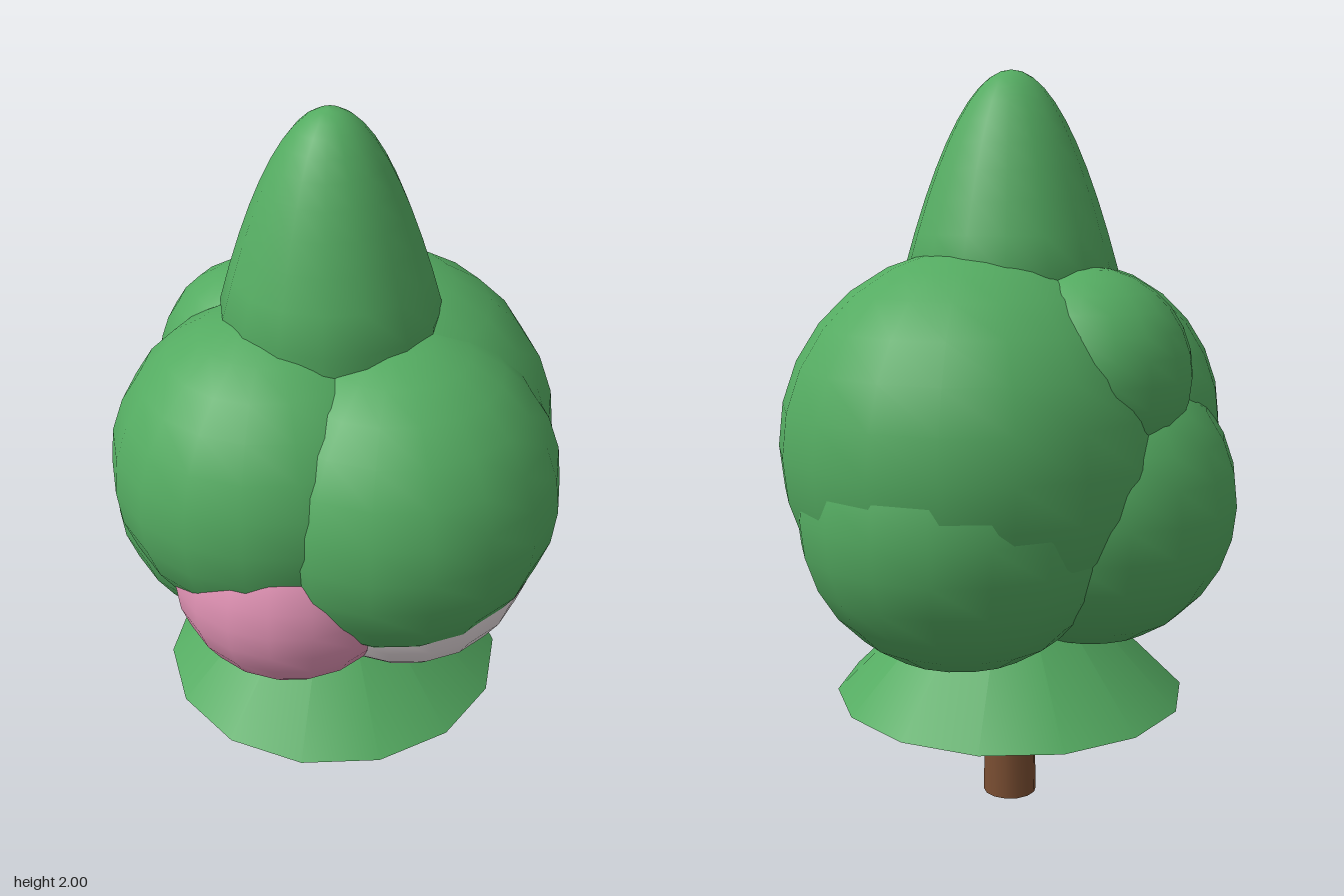
import * as THREE from 'three';

const mat = (name, color) => {
  const m = new THREE.MeshStandardMaterial({ color });
  m.name = name;
  return m;
};

export function createModel() {
  const tree = new THREE.Group();
  tree.name = 'blossomTree';
  const leaf = mat('leafGreen', 0x54ab61);
  const pink = mat('blossomPink', 0xe293b5);
  const white = mat('blossomWhite', 0xeadfe2);
  const bark = mat('barkBrown', 0x7a4e32);

  const add = (name, geometry, material, x, y, z) => {
    const mesh = new THREE.Mesh(geometry, material);
    mesh.name = name;
    mesh.position.set(x, y, z);
    tree.add(mesh);
  };

  // Trunk and the flared skirt of leaves share one axis
  const ax = -0.025, az = -0.035;
  add('trunk', new THREE.CylinderGeometry(0.06, 0.075, 0.6, 14), bark, ax, 0.3, az);
  add('leafSkirt', new THREE.ConeGeometry(0.485, 0.48, 14), leaf, ax, 0.55, az);

  // Crown of overlapping balls: name, material, radius, centre
  const balls = [
    ['frontFoliage', leaf, 0.445, 0, 1.03, 0.18],
    ['leftFoliage', leaf, 0.52, 0.115, 1.03, -0.05],
    ['lowerLeftFoliage', leaf, 0.43, 0.2, 0.88, -0.09],
    ['rightFoliage', leaf, 0.435, -0.2, 1.07, -0.06],
    ['backFoliage', leaf, 0.4, -0.14, 0.88, -0.225],
    ['upperBackFoliage', leaf, 0.275, -0.06, 1.23, -0.29],
    ['pinkBlossom', pink, 0.32, -0.26, 0.83, 0.07],
    ['whiteBlossom', white, 0.355, 0.03, 0.85, 0.2],
  ];
  for (const [name, material, r, x, y, z] of balls) {
    add(name, new THREE.SphereGeometry(r, 18, 14), material, x, y, z);
  }

  // Rounded spire: a paraboloid of revolution, base buried in the crown
  const profile = [];
  for (let i = 0; i <= 10; i++) {
    const r = 0.285 * (1 - i / 10);
    profile.push(new THREE.Vector2(r, 2 - r * r / 0.158));
  }
  profile.unshift(new THREE.Vector2(0.27, 1.3));
  add('spire', new THREE.LatheGeometry(profile, 16), leaf, ax, 0, az);

  return tree;
}
